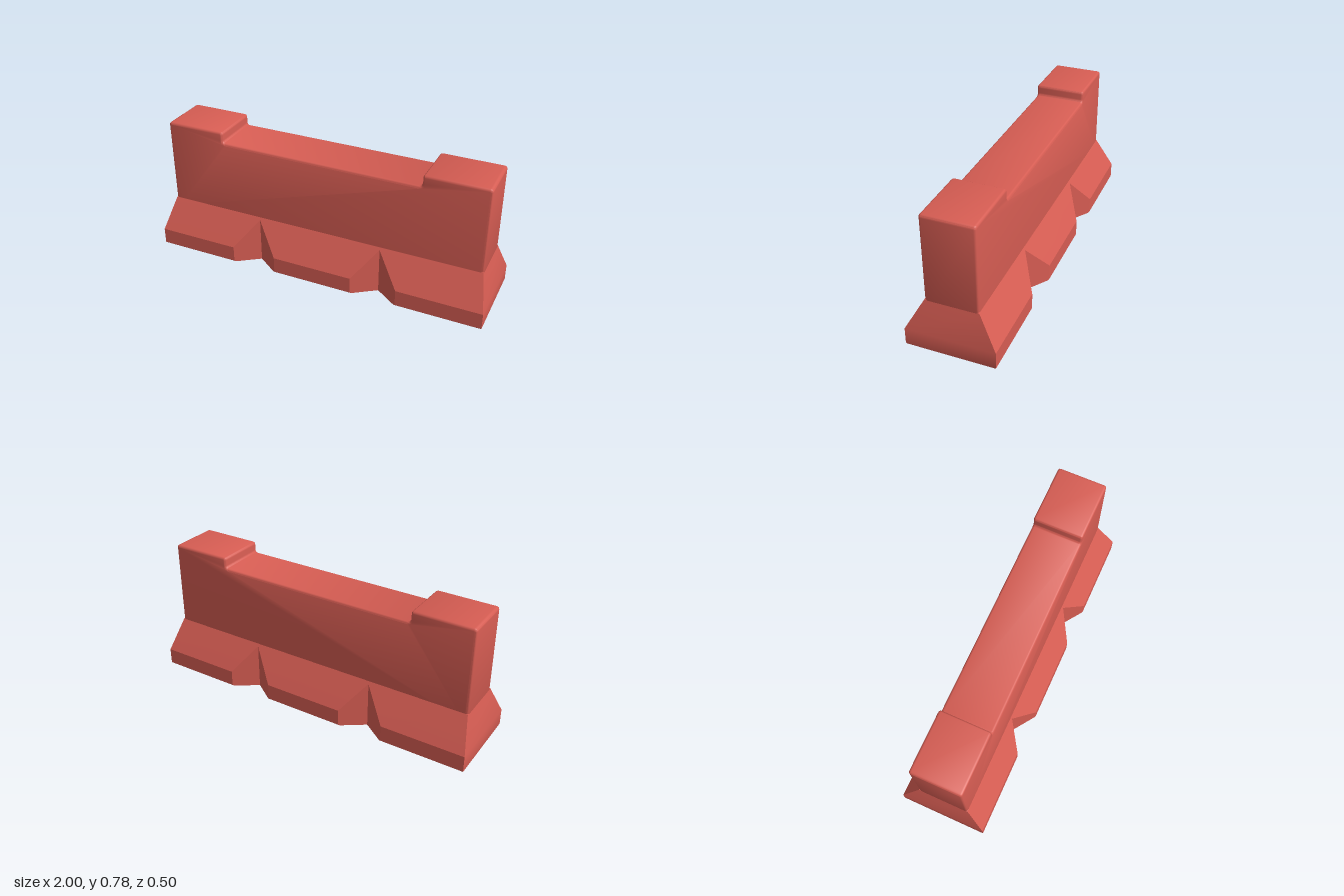
import * as THREE from 'three';
import { toCreasedNormals } from 'three/addons/utils/BufferGeometryUtils.js';

const NOTCH_X = 0.375, NOTCH_HALF = 0.135, NOTCH_Z = 0.155, BASE_Z = 0.25;

// Closed outline of the foot at one height, with a V notch pair on each long side
function footLoop([y, halfLength, halfDepth]) {
  const w = Math.max(0, NOTCH_HALF * (halfDepth - NOTCH_Z) / (BASE_Z - NOTCH_Z));
  const apex = Math.min(halfDepth, NOTCH_Z);
  const front = [
    [-halfLength, halfDepth],
    [-NOTCH_X - w, halfDepth], [-NOTCH_X, apex], [-NOTCH_X + w, halfDepth],
    [NOTCH_X - w, halfDepth], [NOTCH_X, apex], [NOTCH_X + w, halfDepth],
    [halfLength, halfDepth],
  ];
  const back = front.map(([x, z]) => [x, -z]).reverse();
  return [...front, ...back].map(([x, z]) => new THREE.Vector3(x, y, z));
}

// Skin the loops and close the underside
function footGeometry() {
  const loops = [
    [0, 0.998, 0.244], [0.006, 1, 0.25], [0.1, 1, 0.25],
    [0.272, 0.958, 0.155], [0.286, 0.955, 0.147], [0.288, 0.945, 0.14],
  ].map(footLoop);
  const pos = [];
  const tri = (...pts) => pts.forEach((p) => pos.push(p.x, p.y, p.z));
  for (let j = 0; j < loops.length - 1; j++) {
    const lo = loops[j], hi = loops[j + 1];
    for (let i = 0; i < lo.length; i++) {
      const k = (i + 1) % lo.length;
      tri(lo[i], lo[k], hi[k]);
      tri(lo[i], hi[k], hi[i]);
    }
  }
  const bottom = loops[0];
  const flat = bottom.map((p) => new THREE.Vector2(p.x, -p.z));
  for (const [a, b, c] of THREE.ShapeUtils.triangulateShape(flat, [])) {
    tri(bottom[a], bottom[c], bottom[b]);
  }
  const g = new THREE.BufferGeometry();
  g.setAttribute('position', new THREE.Float32BufferAttribute(pos, 3));
  return toCreasedNormals(g, 0.4);
}

// Polygon with every corner softened
function roundedShape(corners, r) {
  const pts = corners.map(([x, y]) => new THREE.Vector2(x, y));
  const shape = new THREE.Shape();
  pts.forEach((p, i) => {
    const prev = pts[(i + pts.length - 1) % pts.length];
    const next = pts[(i + 1) % pts.length];
    const a = p.clone().add(prev.clone().sub(p).setLength(r));
    const b = p.clone().add(next.clone().sub(p).setLength(r));
    if (i === 0) shape.moveTo(a.x, a.y);
    else shape.lineTo(a.x, a.y);
    shape.quadraticCurveTo(p.x, p.y, b.x, b.y);
  });
  shape.closePath();
  return shape;
}

// Upright wall with raised blocks at both ends
function wallGeometry() {
  const bevel = 0.014, depth = 0.294;
  const shape = roundedShape([
    [-0.956, 0.22], [0.956, 0.22], [0.956, 0.783], [0.59, 0.783],
    [0.59, 0.717], [-0.6, 0.717], [-0.6, 0.783], [-0.956, 0.783],
  ], 0.018);
  const g = new THREE.ExtrudeGeometry(shape, {
    depth: depth - 2 * bevel, curveSegments: 4,
    bevelEnabled: true, bevelThickness: bevel, bevelSize: bevel,
    bevelOffset: -bevel, bevelSegments: 3,
  });
  g.translate(0, 0, -depth / 2 + bevel);
  return toCreasedNormals(g, 0.65);
}

export function createModel() {
  const red = new THREE.MeshStandardMaterial({ color: 0xd75d53 });
  red.name = 'barrier red';

  const group = new THREE.Group();
  group.name = 'roadBarrier';
  const add = (name, geometry) => {
    const mesh = new THREE.Mesh(geometry, red);
    mesh.name = name;
    group.add(mesh);
  };
  add('notchedFoot', footGeometry());
  add('wall', wallGeometry());
  return group;
}
